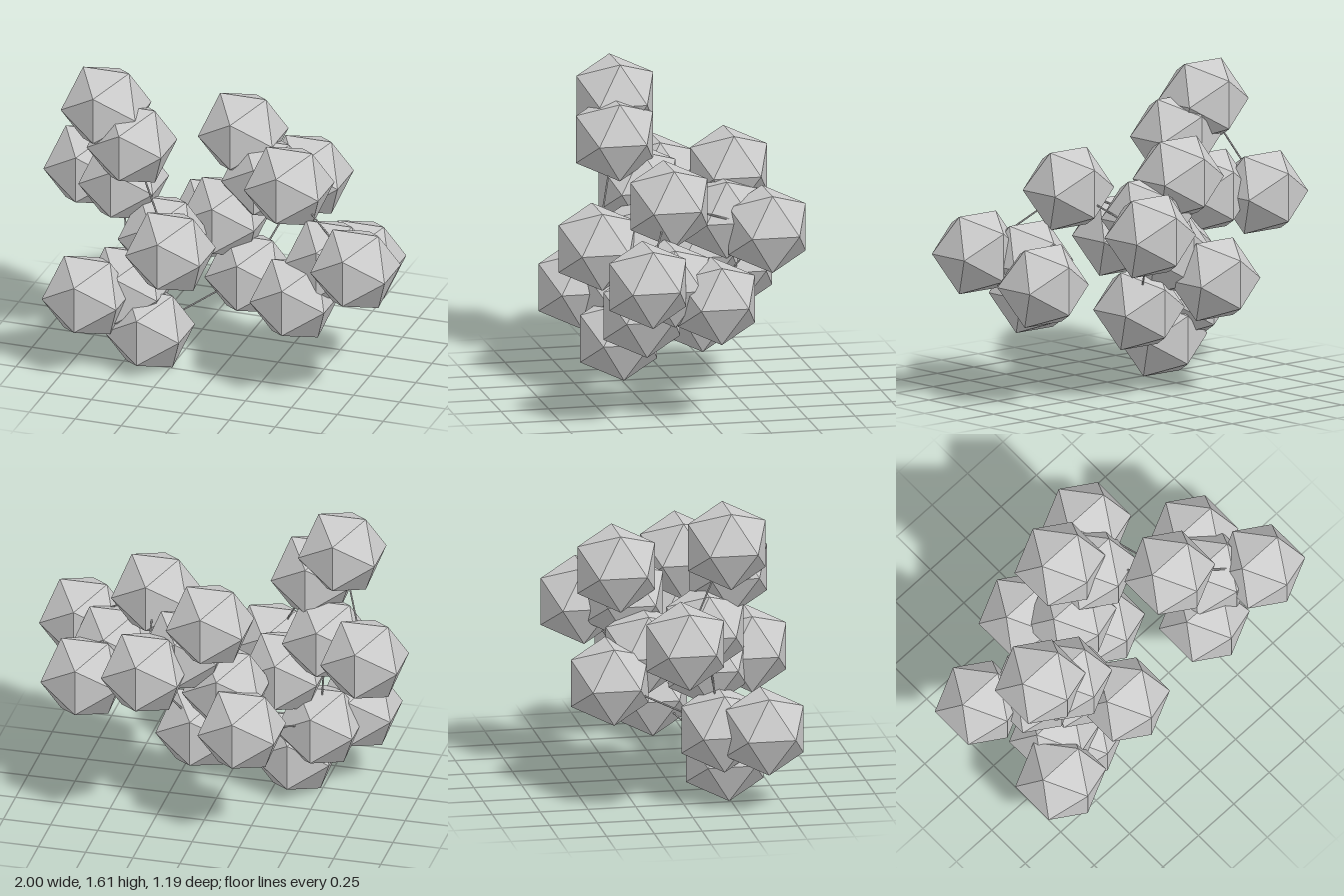
import * as THREE from 'three';

// Node centres of the network
const NODES = {
  a: [-0.614, 1.405, 0.203], b: [-0.46, 1.234, 0.24], c: [-0.798, 0.934, -0.05],
  d: [-0.555, 0.952, 0.1], e: [-0.033, 1.143, -0.263], f: [0.361, 1.076, 0.142],
  g: [0.12, 0.943, -0.19], h: [0.797, 0.768, 0.353], i: [0.597, 0.717, 0.19],
  j: [0.45, 0.527, 0.305], k: [0.07, 0.444, -0.075], l: [-0.197, 0.728, 0.392],
  m: [-0.65, 0.413, 0.394], n: [-0.364, 0.203, 0.24], o: [-0.32, 0.7, 0.157],
  p: [-0.5, 0.398, 0.19], q: [-0.083, 0.72, -0.125], r: [-0.22, 0.596, -0.333],
  s: [0.276, 0.894, -0.395], t: [0.69, 0.635, -0.033],
};

// Pairs of nodes joined by a rod
const LINKS = ('ac ab bl cd dp do db nk ks fs fh fg eg es gq qr qo ol op pm pn mn '
  + 'ih ij it jt ht kq rp').split(' ');

const RADIUS = 0.238;
const ROD_RADIUS = 0.005;

export function createModel() {
  const group = new THREE.Group();
  group.name = 'nodeNetwork';
  const material = new THREE.MeshStandardMaterial({ color: 0xcccccc, flatShading: true });

  // Faceted nodes
  const nodes = new THREE.Group();
  nodes.name = 'nodes';
  const ball = new THREE.IcosahedronGeometry(RADIUS, 0);
  for (const centre of Object.values(NODES)) {
    const node = new THREE.Mesh(ball, material);
    node.name = 'node';
    node.position.set(...centre);
    nodes.add(node);
  }

  // Thin connecting rods, centre to centre
  const rods = new THREE.Group();
  rods.name = 'connectingRods';
  const up = new THREE.Vector3(0, 1, 0);
  const rodGeometry = new THREE.CylinderGeometry(ROD_RADIUS, ROD_RADIUS, 1, 6);
  for (const [from, to] of LINKS) {
    const start = new THREE.Vector3(...NODES[from]);
    const end = new THREE.Vector3(...NODES[to]);
    const span = end.clone().sub(start);
    const rod = new THREE.Mesh(rodGeometry, material);
    rod.name = 'connectingRod';
    rod.position.copy(start).add(end).multiplyScalar(0.5);
    rod.scale.y = span.length();
    rod.quaternion.setFromUnitVectors(up, span.normalize());
    rods.add(rod);
  }

  group.add(nodes, rods);
  return group;
}
